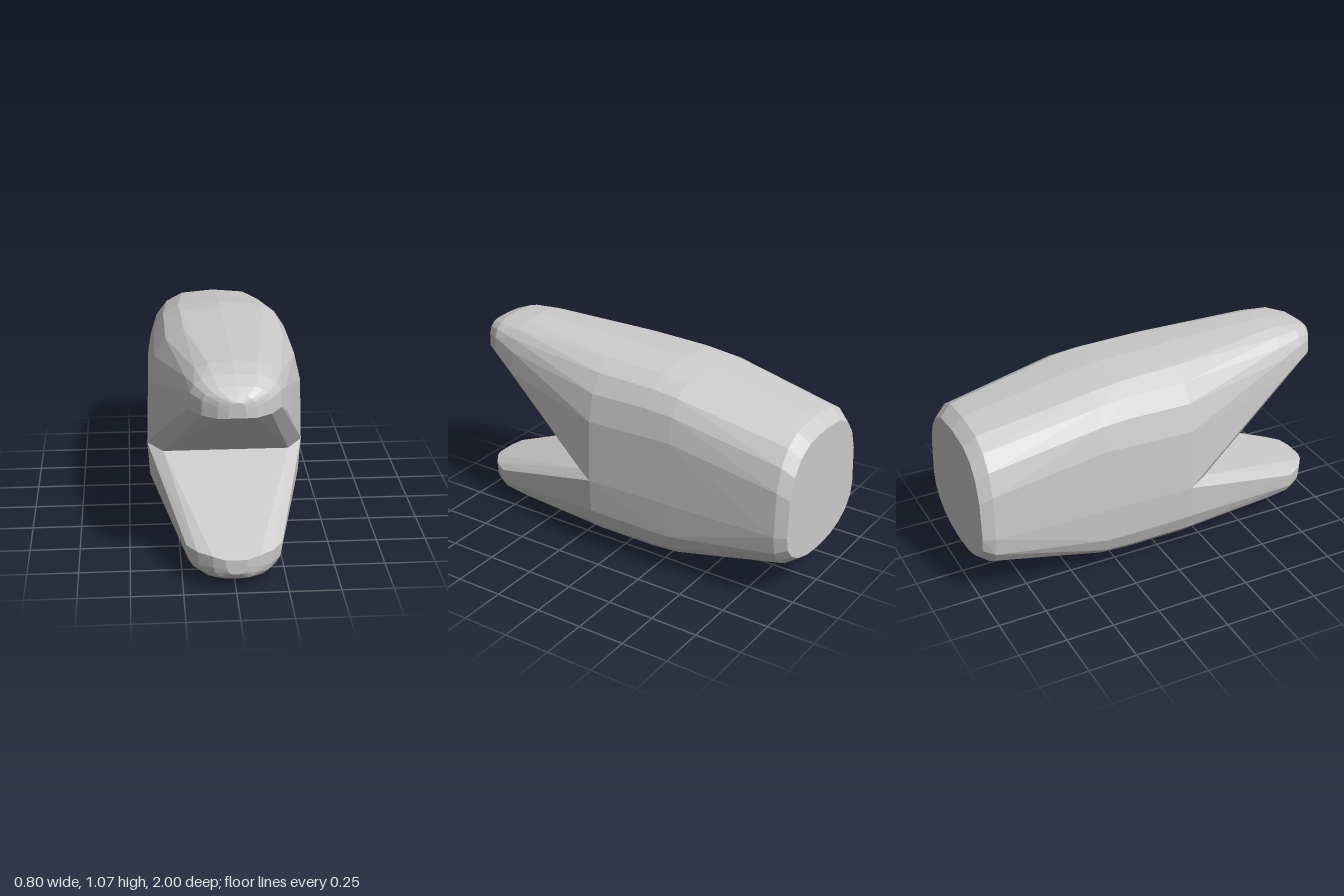
import * as THREE from 'three';
import { ConvexGeometry } from 'three/addons/geometries/ConvexGeometry.js';

const SPLIT = 0.41; // height of the seam between the jaws

// Half-section at z: from the base line at half width w to the crest height;
// a lower power gives fuller corners
function halfSection([z, w, base, crest, power], steps = 10) {
  const points = [];
  for (let i = 0; i <= steps; i++) {
    const a = (Math.PI * i) / steps;
    const c = Math.cos(a);
    points.push(new THREE.Vector3(
      Math.sign(c) * w * Math.pow(Math.abs(c), power),
      base + (crest - base) * Math.pow(Math.abs(Math.sin(a)), power),
      z
    ));
  }
  return points;
}

// Faceted convex jaw wrapped around its sections
function makeJaw(name, sections, material) {
  const points = sections.flatMap((section) => halfSection(section));
  // inner corners at the hinge of the mouth
  for (const s of [-1, 1]) points.push(new THREE.Vector3(s * 0.32, SPLIT, 0.24));
  const jaw = new THREE.Mesh(new ConvexGeometry(points), material);
  jaw.name = name;
  return jaw;
}

export function createModel() {
  const group = new THREE.Group();
  group.name = 'openJaws';
  const material = new THREE.MeshStandardMaterial({ color: 0xcccccc, flatShading: true });

  // each section: z, half width, base height, crest height, corner power
  const upper = [
    [-1.0, 0.345, SPLIT, 0.85, 0.68],
    [-0.94, 0.37, SPLIT, 0.905, 0.64],
    [-0.35, 0.39, SPLIT, 1.017, 0.5],
    [-0.2, 0.392, SPLIT, 1.035, 0.52],
    [0.12, 0.4, SPLIT, 1.046, 0.56],
    [0.72, 0.255, 0.81, 1.065, 0.66],
    [0.86, 0.215, 0.885, 1.05, 0.62],
    [0.94, 0.16, 0.885, 1.02, 0.55],
    [0.985, 0.09, 0.885, 0.99, 0.55],
    [1.0, 0.04, 0.89, 0.965, 0.6],
  ];
  const lower = [
    [-1.0, 0.345, SPLIT, 0.2, 0.9],
    [-0.94, 0.37, SPLIT, 0.165, 0.78],
    [-0.35, 0.39, SPLIT, 0.05, 0.55],
    [-0.2, 0.392, SPLIT, 0.035, 0.57],
    [0.12, 0.4, SPLIT, 0.025, 0.64],
    [0.72, 0.255, 0.215, 0.0, 0.72],
    [0.84, 0.23, 0.18, 0.02, 0.68],
    [0.92, 0.18, 0.182, 0.04, 0.62],
    [0.975, 0.11, 0.184, 0.065, 0.6],
    [1.0, 0.05, 0.175, 0.1, 0.6],
  ];

  group.add(makeJaw('upperJaw', upper, material));
  group.add(makeJaw('lowerJaw', lower, material));
  return group;
}
